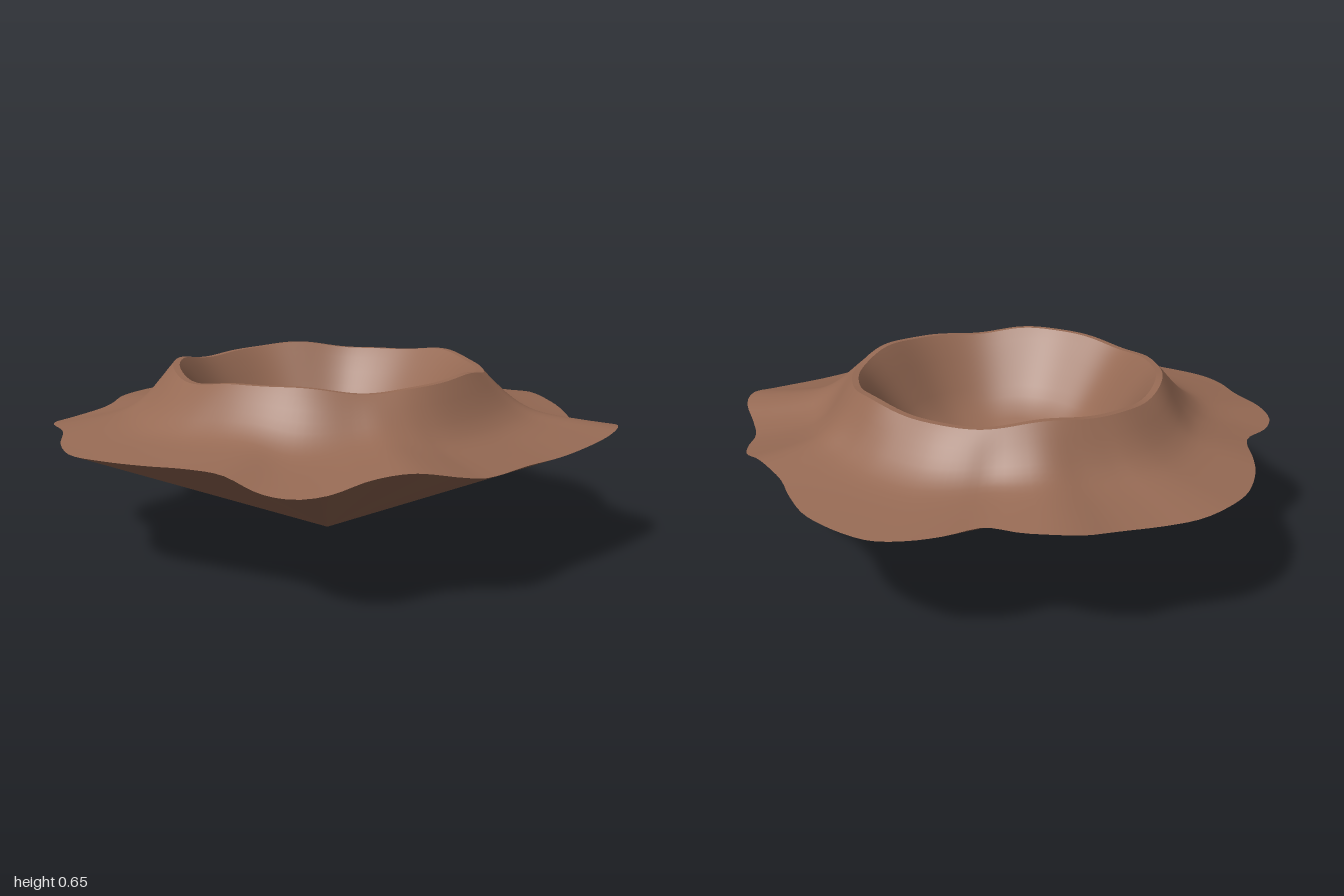
import * as THREE from 'three';

const SPOKES = 160;
const CENTRE_Z = 0.035;

// Wavy outer edge, from the left side round to the front: x, y, z
const EDGE = [
  [0.998, 0.425, -0.11], [0.96, 0.43, 0.05], [0.92, 0.44, 0.16], [0.9, 0.455, 0.32],
  [0.873, 0.43, 0.45], [0.81, 0.412, 0.55], [0.72, 0.405, 0.645], [0.665, 0.415, 0.755],
  [0.617, 0.445, 0.872], [0.545, 0.455, 0.94], [0.43, 0.44, 0.966], [0.165, 0.42, 0.975],
  [-0.025, 0.42, 0.97], [-0.265, 0.425, 0.983], [-0.355, 0.44, 0.965], [-0.48, 0.46, 0.888],
  [-0.575, 0.445, 0.818], [-0.72, 0.417, 0.777], [-0.793, 0.408, 0.715], [-0.83, 0.412, 0.615],
  [-0.845, 0.44, 0.455], [-0.882, 0.44, 0.32], [-0.922, 0.43, 0.18], [-0.97, 0.425, 0.03],
  [-1.0, 0.423, -0.13], [-0.96, 0.43, -0.26], [-0.87, 0.44, -0.4], [-0.82, 0.435, -0.55],
  [-0.76, 0.425, -0.635], [-0.665, 0.422, -0.68], [-0.515, 0.435, -0.705], [-0.45, 0.44, -0.74],
  [-0.355, 0.44, -0.83], [-0.265, 0.435, -0.9], [-0.115, 0.43, -0.97], [0.03, 0.43, -0.987],
  [0.14, 0.425, -0.97], [0.24, 0.42, -0.92], [0.38, 0.425, -0.85], [0.5, 0.44, -0.81],
  [0.56, 0.445, -0.76], [0.62, 0.44, -0.67], [0.67, 0.435, -0.56], [0.79, 0.43, -0.51],
  [0.885, 0.425, -0.445], [0.957, 0.42, -0.35],
];

// Outer slope: fraction of the way from rim to edge, fraction of the height
const SLOPE = [[1, 0], [0.82, 0.05], [0.65, 0.105], [0.55, 0.145], [0.47, 0.185], [0.4, 0.235],
  [0.34, 0.3], [0.28, 0.385], [0.23, 0.475], [0.17, 0.6], [0.11, 0.745], [0.05, 0.89], [0, 1]];

// Bowl: fraction of the lip radius, fraction of the depth
const BOWL = [[1, 0], [0.945, 0.09], [0.873, 0.23], [0.8, 0.37], [0.727, 0.505], [0.673, 0.595],
  [0.6, 0.685], [0.51, 0.76], [0.364, 0.845], [0.18, 0.925], [0, 1]];

// Smooth surface through closed rings of points
function loft(rings) {
  const position = rings.flat().flatMap((p) => [p.x, p.y, p.z]);
  const index = [];
  for (let r = 0; r < rings.length - 1; r++) {
    for (let i = 0; i < SPOKES; i++) {
      const j = (i + 1) % SPOKES;
      const a = r * SPOKES + i, b = r * SPOKES + j;
      const c = a + SPOKES, d = b + SPOKES;
      index.push(a, c, b, b, c, d);
    }
  }
  const geometry = new THREE.BufferGeometry();
  geometry.setAttribute('position', new THREE.Float32BufferAttribute(position, 3));
  geometry.setIndex(index);
  geometry.computeVertexNormals();
  return geometry;
}

export function createModel() {
  const group = new THREE.Group();
  group.name = 'crater';
  const earth = new THREE.MeshStandardMaterial({ color: 0x966a54 });
  earth.name = 'brown earth';

  const curve = new THREE.CatmullRomCurve3(EDGE.map((p) => new THREE.Vector3(...p)), true);
  const edge = curve.getSpacedPoints(SPOKES).slice(0, SPOKES);
  const angles = edge.map((p) => Math.atan2(p.z - CENTRE_Z, p.x));

  // Uneven ring around the bowl
  const ring = (radius) => angles.map((a) => {
    const r = radius + 0.003 * Math.sin(8 * a);
    const y = 0.634 + 0.012 * Math.sin(5 * a + Math.PI / 4) + 0.003 * Math.sin(11 * a);
    return new THREE.Vector3(r * Math.cos(a), y, CENTRE_Z + r * Math.sin(a));
  });
  const rimOuter = ring(0.574);
  const rimInner = ring(0.55);
  const floor = new THREE.Vector3(0, 0.24, CENTRE_Z);
  const apex = new THREE.Vector3(0, 0, CENTRE_Z);

  const add = (name, rings) => {
    const mesh = new THREE.Mesh(loft(rings), earth);
    mesh.name = name;
    group.add(mesh);
  };

  // Flared outer slope from the wavy edge up to the rim
  add('outerSlope', SLOPE.map(([t, h]) => edge.map((e, i) => {
    const p = rimOuter[i].clone().lerp(e, t);
    p.y = e.y + (rimOuter[i].y - e.y) * h;
    return p;
  })));

  // Narrow flat rim on top
  add('rim', [rimOuter, rimInner]);

  // Hollow bowl with steep walls and a gently conical floor
  add('bowl', BOWL.map(([s, d]) => rimInner.map((p) => new THREE.Vector3(
    p.x * s,
    p.y + (floor.y - p.y) * d,
    CENTRE_Z + (p.z - CENTRE_Z) * s,
  ))));

  // Conical underside down to a point
  add('underside', [0, 0.5, 1].map((t) => edge.map((e) => apex.clone().lerp(e, t))));

  return group;
}
